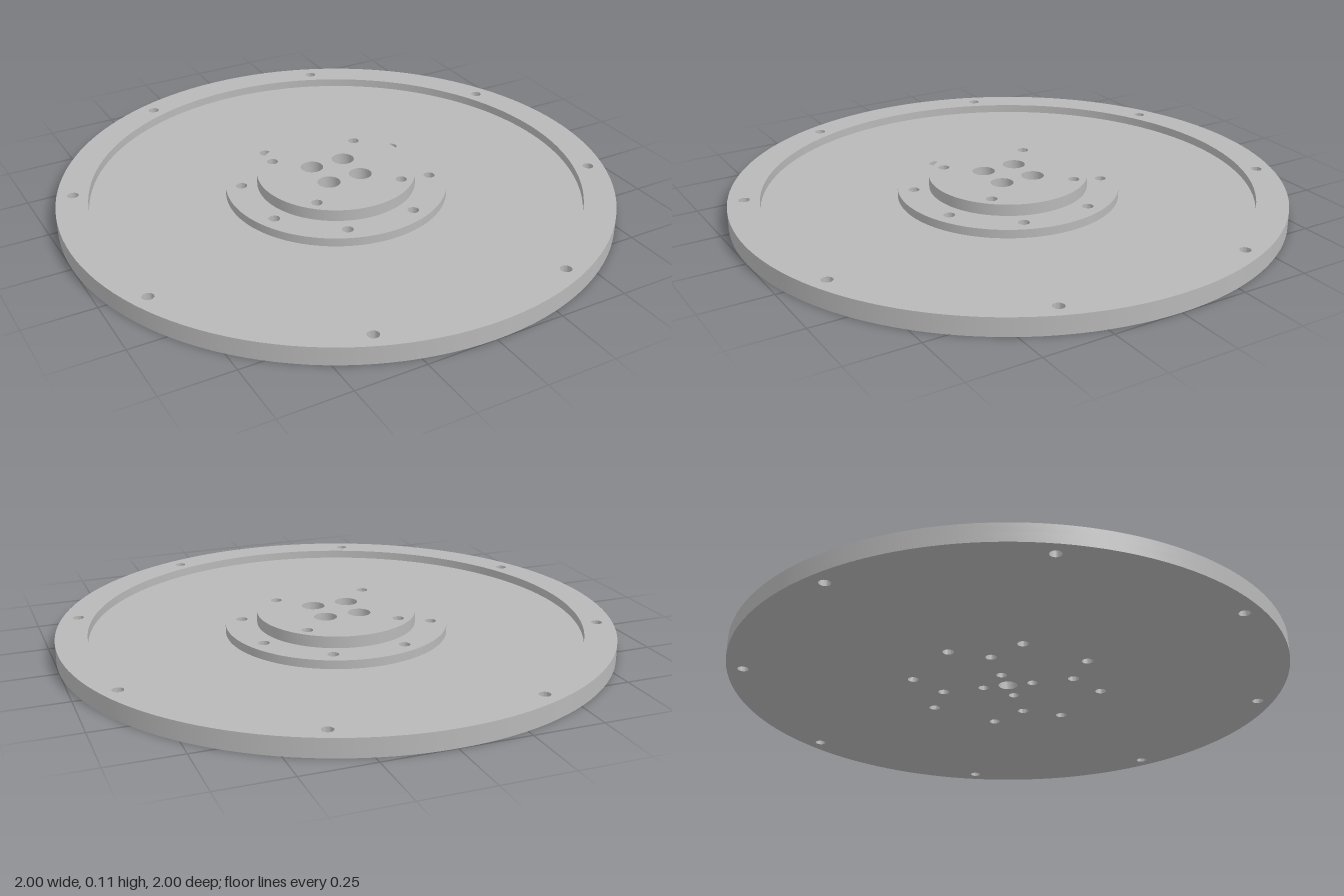
import * as THREE from 'three';
import { toCreasedNormals } from 'three/addons/utils/BufferGeometryUtils.js';

// Points of a circle, used for outlines and holes
function circle(radius, segments, x = 0, y = 0) {
  return Array.from({ length: segments }, (_, i) => {
    const a = (i / segments) * Math.PI * 2;
    return new THREE.Vector2(x + radius * Math.cos(a), y + radius * Math.sin(a));
  });
}

// Ring of equally spaced round holes, offset by half a step
function boltHoles(count, pitchRadius, holeRadius) {
  return Array.from({ length: count }, (_, i) => {
    const a = ((i + 0.5) / count) * Math.PI * 2;
    return circle(holeRadius, 24, pitchRadius * Math.cos(a), pitchRadius * Math.sin(a));
  });
}

export function createModel() {
  const group = new THREE.Group();
  const metal = new THREE.MeshStandardMaterial({ color: 0xb8b8b8 });
  metal.name = 'grey metal';

  // Round plate between two heights, pierced by holes
  function plate(name, radius, bottom, top, holes) {
    const shape = new THREE.Shape(circle(radius, 128));
    shape.holes = holes.map((points) => new THREE.Path(points));
    const extruded = new THREE.ExtrudeGeometry(shape, { depth: top - bottom, bevelEnabled: false });
    extruded.rotateX(-Math.PI / 2);
    extruded.translate(0, bottom, 0);
    const mesh = new THREE.Mesh(toCreasedNormals(extruded, 0.6), metal);
    mesh.name = name;
    group.add(mesh);
  }

  const floorY = 0.034, seatY = 0.05, rimY = 0.065, hubY = 0.107;

  const rimHoles = boltHoles(8, 0.942, 0.02);
  const flangeHoles = boltHoles(8, 0.343, 0.02);
  const hubHoles = boltHoles(4, 0.242, 0.02);
  const screwHoles = boltHoles(4, 0.091, 0.019);
  const counterbores = boltHoles(4, 0.091, 0.041);
  const centreBore = [circle(0.034, 32)];

  // Base disc and raised outer rim
  plate('baseDisc', 1, 0, floorY, [...rimHoles, ...flangeHoles, ...hubHoles, ...screwHoles, ...centreBore]);
  plate('outerRim', 1, floorY, rimY, [circle(0.887, 128), ...rimHoles]);

  // Flange: the lower half closes the counterbores, the upper half closes the centre bore
  plate('flangeLower', 0.4, floorY, seatY, [...flangeHoles, ...hubHoles, ...screwHoles, ...centreBore]);
  plate('flangeUpper', 0.4, seatY, rimY, [...flangeHoles, ...hubHoles, ...counterbores]);

  // Raised hub
  plate('hub', 0.286, rimY, hubY, [...hubHoles, ...counterbores]);

  return group;
}
